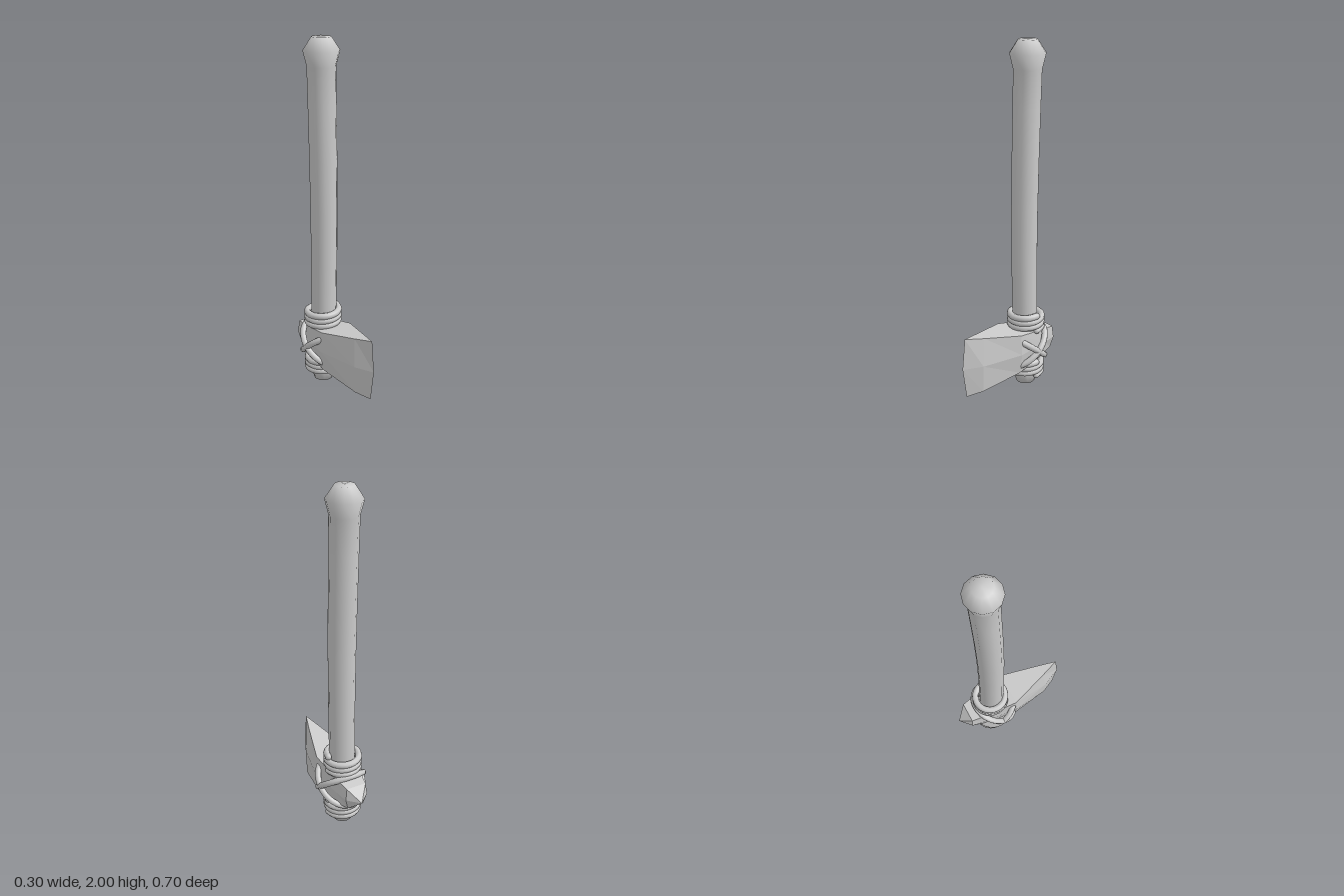
import * as THREE from 'three';

const grey = new THREE.MeshStandardMaterial({ color: 0xcccccc });
const facetedGrey = new THREE.MeshStandardMaterial({ color: 0xcccccc, flatShading: true });

function addMesh(parent, name, geometry, material = grey) {
  const mesh = new THREE.Mesh(geometry, material);
  mesh.name = name;
  parent.add(mesh);
  return mesh;
}

// Slightly bowed wooden shaft: rows of [radius, y, z of the axis]
function handleGeometry() {
  const rows = [
    [0, 0, -0.127], [0.055, 0, -0.127], [0.068, 0.06, -0.125], [0.073, 0.25, -0.121],
    [0.073, 0.5, -0.117], [0.074, 0.8, -0.112], [0.075, 1.05, -0.111], [0.076, 1.35, -0.115],
    [0.077, 1.65, -0.122], [0.078, 1.85, -0.127], [0.098, 1.93, -0.127],
    [0.052, 2, -0.127], [0, 2, -0.127],
  ];
  const geometry = new THREE.LatheGeometry(rows.map(([r, y]) => new THREE.Vector2(r, y)), 12);
  const pos = geometry.attributes.position;
  for (let i = 0; i < pos.count; i++) pos.setZ(i, pos.getZ(i) + rows[i % rows.length][2]);
  return geometry;
}

// Chipped stone: six-sided cross-sections from the rear point to the cutting edge
function stoneGeometry() {
  // [z top, z middle, z bottom, y top, y bottom, half width top, middle, bottom]
  const sections = [
    [-0.35, -0.35, -0.35, 0.245, 0.245, 0, 0, 0],
    [-0.285, -0.29, -0.28, 0.32, 0.18, 0.06, 0.068, 0.05],
    [-0.2, -0.2, -0.2, 0.335, 0.167, 0.075, 0.082, 0.07],
    [0, 0, 0, 0.375, 0.132, 0.1, 0.106, 0.09],
    [0.22, 0.24, 0.24, 0.414, 0.088, 0.035, 0.05, 0.043],
    [0.33, 0.35, 0.325, 0.435, 0.07, 0, 0, 0],
  ];
  const points = [];
  const index = [];
  sections.forEach(([zt, zm, zb, yt, yb, wt, wm, wb], i) => {
    const ym = (yt + yb) / 2;
    points.push(wt, yt, zt, -wt, yt, zt, -wm, ym, zm, -wb, yb, zb, wb, yb, zb, wm, ym, zm);
    if (i === 0) return;
    for (let j = 0; j < 6; j++) {
      const a = (i - 1) * 6 + j;
      const b = (i - 1) * 6 + (j + 1) % 6;
      index.push(a, b, b + 6, a, b + 6, a + 6);
    }
  });
  const geometry = new THREE.BufferGeometry();
  geometry.setAttribute('position', new THREE.Float32BufferAttribute(points, 3));
  geometry.setIndex(index);
  const flat = geometry.toNonIndexed();
  flat.computeVertexNormals();
  return flat;
}

// Three turns of cord around the shaft, with rounded ends
function addBinding(parent, name, yTop, yBottom) {
  const group = new THREE.Group();
  group.name = name;
  const turns = 3;
  const points = [];
  for (let i = 0; i <= turns * 12; i++) {
    const t = i / (turns * 12);
    const angle = t * turns * Math.PI * 2;
    points.push(new THREE.Vector3(
      0.091 * Math.cos(angle), yTop + (yBottom - yTop) * t, -0.127 + 0.091 * Math.sin(angle)));
  }
  const curve = new THREE.CatmullRomCurve3(points);
  addMesh(group, 'coiledCord', new THREE.TubeGeometry(curve, 72, 0.019, 8));
  for (const end of [points[0], points[points.length - 1]]) {
    addMesh(group, 'cordEnd', new THREE.SphereGeometry(0.019, 8, 6)).position.copy(end);
  }
  parent.add(group);
}

// Slanted cord loop; a pair of opposite slants crosses on each side of the stone
function crossCordGeometry(slant) {
  const points = [];
  for (let i = 0; i < 16; i++) {
    const angle = i / 16 * Math.PI * 2;
    points.push(new THREE.Vector3(
      0.132 * Math.cos(angle), 0.25 + slant * 0.1 * Math.sin(angle), -0.105 + 0.122 * Math.sin(angle)));
  }
  return new THREE.TubeGeometry(new THREE.CatmullRomCurve3(points, true), 32, 0.018, 8, true);
}

export function createModel() {
  const model = new THREE.Group();
  model.name = 'stoneAxe';
  addMesh(model, 'handle', handleGeometry());
  addMesh(model, 'stoneHead', stoneGeometry(), facetedGrey);
  addBinding(model, 'upperBinding', 0.452, 0.36);
  addBinding(model, 'lowerBinding', 0.152, 0.066);
  for (const slant of [1, -1]) addMesh(model, 'crossCord', crossCordGeometry(slant));
  return model;
}
